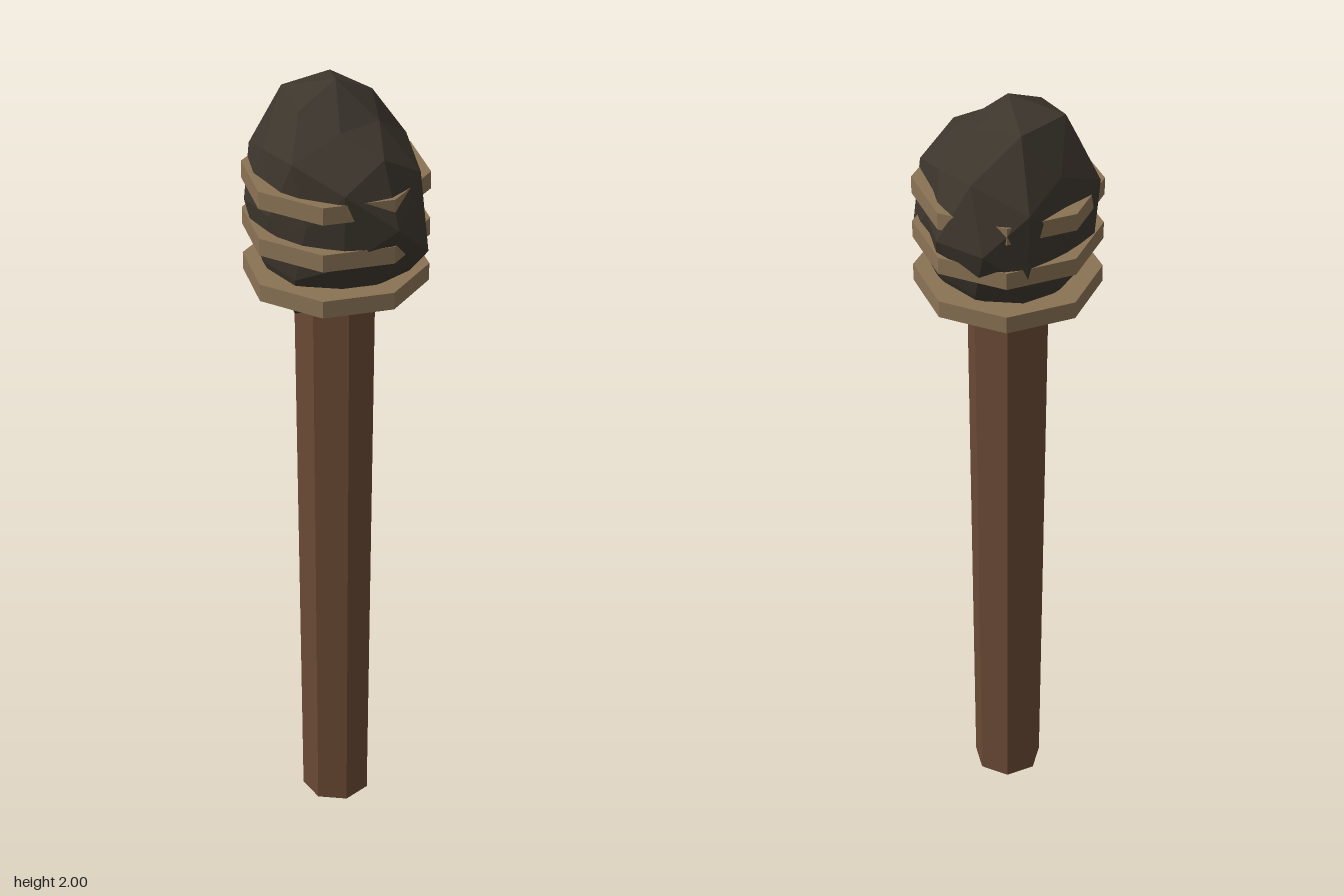
import * as THREE from 'three';

const mat = (name, color) => {
  const m = new THREE.MeshStandardMaterial({ color, flatShading: true });
  m.name = name;
  return m;
};

// Radius of each rock corner, grouped by direction; each list runs through
// the signs of x, then y, then z, with + before -
const rockRadii = [
  [[1, 0, 0], [.225, .19]],
  [[0, 1, 0], [.207, .2]],
  [[0, 0, 1], [.235, .195]],
  [[.526, .851, 0], [.2, .21, .2, .228]],
  [[0, .526, .851], [.21, .2, .205, .2]],
  [[.851, 0, .526], [.19, .233, .19, .212]],
  [[.809, .5, .309], [.195, .226, .205, .205, .215, .2, .205, .205]],
  [[.5, .309, .809], [.217, .23, .24, .215, .217, .226, .205, .21]],
  [[.309, .809, .5], [.18, .225, .21, .21, .18, .225, .205, .205]],
];

// Chipped stone: a subdivided icosahedron with uneven radii, stretched upward
function rockGeometry() {
  const corners = [];
  const signs = (v) => (v === 0 ? [1] : [1, -1]);
  for (const [[x, y, z], radii] of rockRadii) {
    let i = 0;
    for (const sx of signs(x)) for (const sy of signs(y)) for (const sz of signs(z)) {
      corners.push({ dir: new THREE.Vector3(x * sx, y * sy, z * sz), r: radii[i++] });
    }
  }
  const geo = new THREE.IcosahedronGeometry(1, 1);
  const pos = geo.attributes.position;
  const v = new THREE.Vector3();
  for (let i = 0; i < pos.count; i++) {
    v.fromBufferAttribute(pos, i).normalize();
    const { r } = corners.find((c) => c.dir.dot(v) > 0.99);
    pos.setXYZ(i, v.x * r, v.y * r * 1.4, v.z * r);
  }
  geo.computeVertexNormals();
  return geo;
}

export function createModel() {
  const wood = mat('brown wood', 0x6b4a35);
  const stone = mat('dark stone', 0x3d362d);
  const cord = mat('tan binding', 0x8b7355);

  const model = new THREE.Group();
  model.name = 'stoneClub';
  const add = (name, geo, material, y) => {
    const mesh = new THREE.Mesh(geo, material);
    mesh.name = name;
    mesh.position.set(-0.004, y, -0.009);
    model.add(mesh);
  };

  // Seven-sided handle, slightly wider at the top
  add('handle', new THREE.CylinderGeometry(0.099, 0.086, 1.56, 7, 1, false, 0.569), wood, 0.78);

  // Stone head
  add('head', rockGeometry(), stone, 1.71);

  // Three octagonal bindings around the head
  for (let i = 0; i < 3; i++) {
    add(`binding${i + 1}`, new THREE.CylinderGeometry(0.22, 0.22, 0.043, 8), cord, 1.526 + i * 0.118);
  }
  return model;
}
